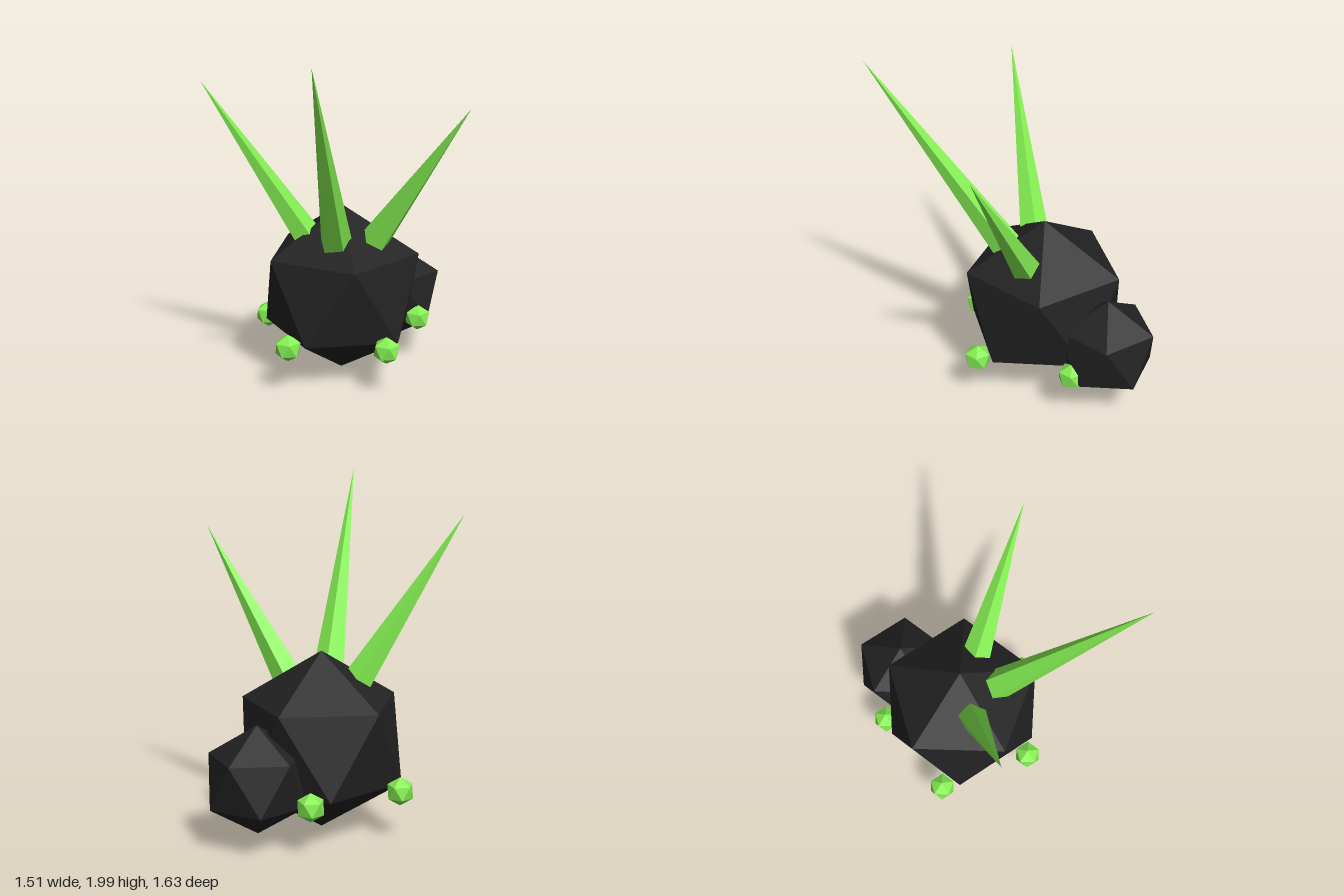
import * as THREE from 'three';

export function createModel() {
  const model = new THREE.Group();
  const stone = new THREE.MeshStandardMaterial({ color: 0x222222, flatShading: true });
  const green = new THREE.MeshStandardMaterial({ color: 0x84ee52, flatShading: true });

  function add(name, geometry, material, x, y, z) {
    const mesh = new THREE.Mesh(geometry, material);
    mesh.name = name;
    mesh.position.set(x, y, z);
    model.add(mesh);
    return mesh;
  }

  // Icosahedron standing on a corner, with an upper-ring corner towards +x
  const tilt = Math.atan(2 / (1 + Math.sqrt(5)));
  const nugget = (radius) => new THREE.IcosahedronGeometry(radius, 0).rotateZ(-tilt);

  // Two overlapping rocks
  add('mainRock', nugget(0.515), stone, 0, 0.52, -0.175);
  add('smallRock', nugget(0.307), stone, 0.277, 0.382, -0.556);

  // Five-sided crystal spikes, placed by their tips, bases sunk into the rock
  const spikes = [
    ['middleSpike', [0, 1.995, 0.812], 1.4, 0.0965, 0.597, 0],
    ['rightSpike', [-0.76, 1.787, 0.077], 1.165, 0.092, 0.187, 0.537],
    ['leftSpike', [0.755, 1.69, 0.158], 1.085, 0.092, 0.28, -0.555],
  ];
  for (const [name, tip, length, radius, rx, rz] of spikes) {
    const cone = new THREE.ConeGeometry(radius, length, 5, 1, false, Math.PI);
    cone.translate(0, -length / 2, 0);
    add(name, cone, green, ...tip).rotation.set(rx, 0, rz);
  }

  // Ring of small crystals around the main rock
  for (let i = 0; i < 5; i++) {
    const a = THREE.MathUtils.degToRad(49 + 72 * i);
    add(`smallCrystal${i + 1}`, nugget(0.082), green,
      0.482 * Math.cos(a), 0.278, -0.175 + 0.482 * Math.sin(a));
  }
  return model;
}
